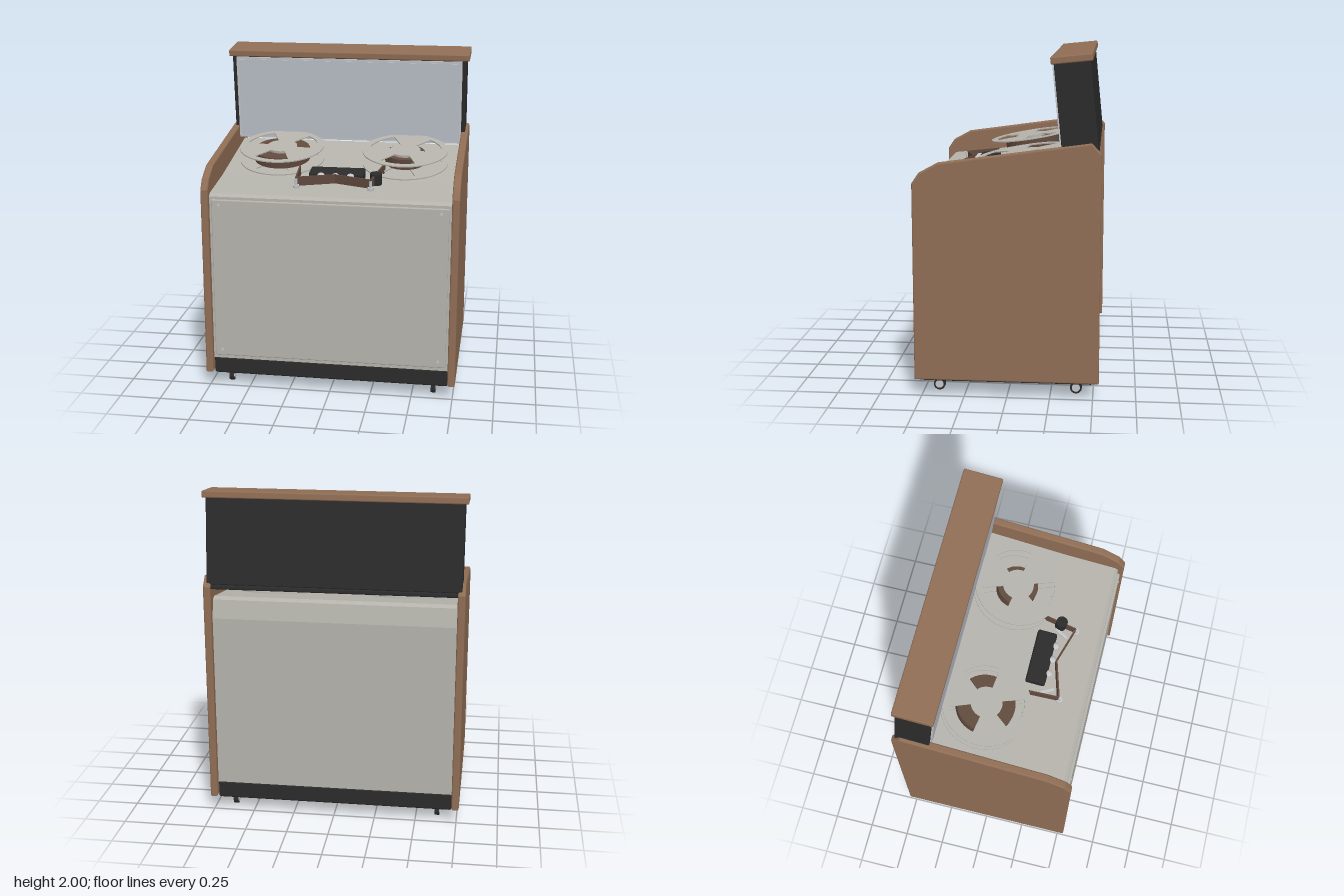
import * as THREE from 'three';
import { RoundedBoxGeometry } from 'three/addons/geometries/RoundedBoxGeometry.js';

const mat = (name, color) => Object.assign(new THREE.MeshStandardMaterial({ color }), { name });

export function createModel() {
  const wood = mat('wood', 0x8f6d54);
  const grey = mat('warm grey', 0xb4b2ab);
  const black = mat('black', 0x2b2b2b);
  const glass = mat('pale blue grey', 0xbcc0c9);
  const tapeBrown = mat('tape brown', 0x614a3e);
  const metal = mat('metal', 0xc3c4c8);

  const root = new THREE.Group();
  root.name = 'tapeRecorderConsole';

  const add = (parent, name, geo, material, x = 0, y = 0, z = 0) => {
    const m = new THREE.Mesh(geo, material);
    m.name = name;
    m.position.set(x, y, z);
    parent.add(m);
    return m;
  };
  const group = (parent, name, x, y, z, tilt = 0) => {
    const g = new THREE.Group();
    g.name = name;
    g.position.set(x, y, z);
    g.rotation.x = tilt;
    parent.add(g);
    return g;
  };
  const box = (w, h, d, r = 0) => r ? new RoundedBoxGeometry(w, h, d, 2, r) : new THREE.BoxGeometry(w, h, d);
  const cyl = (r, h, n = 24) => new THREE.CylinderGeometry(r, r, h, n);

  // Extrude a (z, y) side profile across x, with softened edges
  const profile = (pts, width, bevel) => {
    const s = new THREE.Shape(pts.map(([z, y]) => new THREE.Vector2(z, y)));
    const g = new THREE.ExtrudeGeometry(s, {
      depth: width - 2 * bevel, bevelEnabled: bevel > 0, bevelSize: bevel,
      bevelOffset: -bevel, bevelThickness: bevel, bevelSegments: 3,
    });
    g.translate(0, 0, bevel - width / 2);
    return g.rotateY(-Math.PI / 2);
  };

  // Wooden side panels
  const side = profile([[0.54, 0.1], [0.54, 1.26], [0.5, 1.32], [0.39, 1.38],
    [-0.48, 1.5], [-0.535, 1.44], [-0.535, 0.1]], 0.045, 0.01);
  for (const s of [-1, 1]) add(root, s > 0 ? 'leftSidePanel' : 'rightSidePanel', side, wood, s * 0.7425);

  // Cabinet, sloping deck and plinth
  add(root, 'cabinet', profile([[0.505, 0.185], [0.505, 1.215], [0.485, 1.232], [0.17, 1.265],
    [-0.44, 1.363], [-0.475, 1.35], [-0.5, 1.24], [-0.5, 0.185]], 1.44, 0), grey);
  add(root, 'plinth', box(1.44, 0.107, 1.0, 0.012), black, 0, 0.1335, 0);

  // Front panel with corner screws
  add(root, 'frontPanel', box(1.41, 0.99, 0.02, 0.006), grey, 0, 0.705, 0.513);
  for (const x of [-0.66, 0.66]) for (const y of [0.25, 1.17])
    add(root, 'panelScrew', cyl(0.008, 0.006, 12), metal, x, y, 0.524).rotation.x = Math.PI / 2;

  // Casters
  for (const x of [-0.63, 0.63]) for (const z of [-0.4, 0.41]) {
    const c = group(root, 'caster', x, 0, z);
    add(c, 'casterPlate', box(0.09, 0.012, 0.08), metal, 0, 0.074, 0);
    add(c, 'casterStem', cyl(0.02, 0.03, 16), metal, 0, 0.058, 0);
    add(c, 'wheel', cyl(0.035, 0.028), black, 0, 0.035, 0).rotation.z = Math.PI / 2;
    add(c, 'wheelHub', cyl(0.024, 0.036), metal, 0, 0.036, 0).rotation.z = Math.PI / 2;
  }

  // Raised lid
  const lid = group(root, 'lid', 0, 1.676, -0.392, 0.1);
  add(lid, 'lidBox', box(1.49, 0.51, 0.205, 0.006), black, 0, 0.02, 0);
  add(lid, 'lidCap', box(1.53, 0.042, 0.235, 0.008), wood, 0, 0.292, 0);
  add(lid, 'lidFrame', box(1.44, 0.535, 0.008), metal, 0, 0, 0.106);
  add(lid, 'lidScreen', box(1.41, 0.505, 0.008), glass, 0, 0, 0.109);
  add(lid, 'hingeBar', box(1.46, 0.026, 0.04, 0.008), black, 0, -0.25, -0.083);

  // Reel flange with three windows
  const flangeShape = new THREE.Shape().absarc(0, 0, 0.265, 0, Math.PI * 2, false);
  for (let i = 0; i < 3; i++) {
    const mid = THREE.MathUtils.degToRad(22 + 120 * i), half = 0.5;
    const hole = new THREE.Path();
    hole.absarc(0, 0, 0.225, mid - half, mid + half, false);
    hole.absarc(0, 0, 0.095, mid + half, mid - half, true);
    hole.closePath();
    flangeShape.holes.push(hole);
  }
  const flange = new THREE.ExtrudeGeometry(flangeShape, { depth: 0.007, bevelEnabled: false, curveSegments: 40 });
  flange.rotateX(-Math.PI / 2);

  // Reels, standing square to the rear deck
  const deck = group(root, 'reelDeck', 0, 1.265, 0.17, 0.16);
  for (const [x, wound] of [[-0.39, 0.175], [0.39, 0.125]]) {
    const r = group(deck, x > 0 ? 'leftReel' : 'rightReel', x, 0, -0.25);
    add(r, 'lowerFlange', flange, grey, 0, 0.012, 0);
    add(r, 'upperFlange', flange, grey, 0, 0.096, 0);
    add(r, 'woundTape', cyl(wound, 0.066, 48), tapeBrown, 0, 0.053, 0);
    add(r, 'reelHub', cyl(0.09, 0.09, 32), grey, 0, 0.053, 0);
    add(r, 'spindle', cyl(0.025, 0.012), grey, 0, 0.006, 0);
  }

  // Tape transport on the front deck
  const gear = group(root, 'tapeTransport', 0, 1.265, 0.17, 0.104);
  const at = (z) => z - 0.17;
  add(gear, 'headBlock', box(0.335, 0.06, 0.12, 0.012), black, 0, 0.028, at(0.176));
  for (const x of [-0.09, 0, 0.09]) {
    add(gear, 'controlStem', cyl(0.013, 0.04, 16), metal, x, 0.025, at(0.242));
    add(gear, 'controlKnob', new THREE.SphereGeometry(0.023, 20, 12), metal, x, 0.045, at(0.242)).scale.y = 0.7;
  }
  add(gear, 'pinchRoller', cyl(0.035, 0.07), black, 0.245, 0.037, at(0.243));
  for (const s of [-1, 1]) {
    add(gear, 'guidePost', cyl(0.009, 0.06, 16), metal, s * 0.225, 0.025, at(0.343));
    add(gear, 'guideFoot', cyl(0.019, 0.02, 20), metal, s * 0.225, 0.008, at(0.343));
    add(gear, 'tensionLever', box(0.018, 0.012, 0.09), metal, s * 0.192, 0.01, at(0.258)).rotation.y = -s * 0.5;
  }

  // Tape threaded between the reels and around the posts
  const path = [[-0.237, 0.13], [-0.226, 0.335], [0, 0.268], [0.226, 0.335], [0.275, 0.04]];
  for (let i = 1; i < path.length; i++) {
    const [x0, z0] = path[i - 1], [x1, z1] = path[i];
    const run = add(gear, 'tapeRun', box(Math.hypot(x1 - x0, z1 - z0), 0.056, 0.009), tapeBrown,
      (x0 + x1) / 2, 0.036, at((z0 + z1) / 2));
    run.rotation.y = -Math.atan2(z1 - z0, x1 - x0);
  }
  return root;
}
